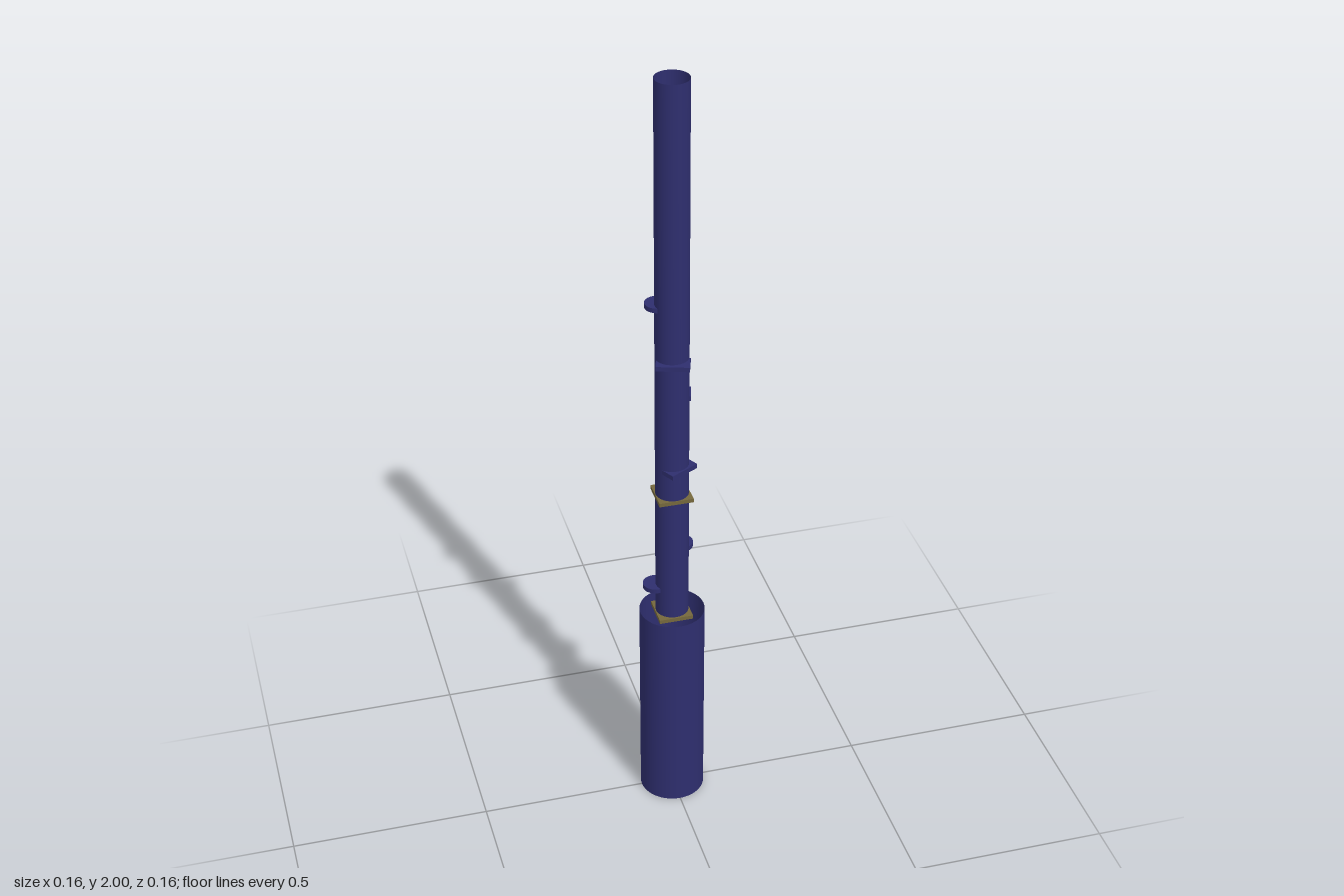
import * as THREE from 'three';

export function createModel() {
  const model = new THREE.Group();
  const navy = new THREE.MeshStandardMaterial({ color: 0x2e2e6e, side: THREE.DoubleSide });
  navy.name = 'navy';
  const olive = new THREE.MeshStandardMaterial({ color: 0x75683c });
  olive.name = 'olive';

  function add(name, geometry, material, x, y, z, turn = 0) {
    const mesh = new THREE.Mesh(geometry, material);
    mesh.name = name;
    mesh.position.set(x, y, z);
    mesh.rotation.y = turn;
    model.add(mesh);
  }

  // Open-ended shafts: wide base and slim upper tube
  const shaft = (r, h) => new THREE.CylinderGeometry(r, r, h, 48, 1, true);
  add('baseShaft', shaft(0.082, 0.56), navy, 0, 0.28, 0);
  add('upperShaft', shaft(0.0415, 1.44), navy, 0, 1.28, 0);

  // Square floor plates
  for (const y of [0.553, 0.905]) {
    add('floorPlate', new THREE.BoxGeometry(0.086, 0.01, 0.086), olive, 0, y, 0);
  }

  // Round ledges poking through the tube: x, y, z
  const disc = new THREE.CylinderGeometry(0.031, 0.031, 0.012, 24);
  for (const [x, y, z] of [[-0.031, 1.428, -0.016], [0.028, 0.738, -0.022], [-0.041, 0.634, -0.009]]) {
    add('roundLedge', disc, navy, x, y, z);
  }

  // Rectangular ledges, each turned about the shaft: x, y, z, turn
  const slab = new THREE.BoxGeometry(0.081, 0.012, 0.046);
  for (const [x, y, z, turn] of [
    [-0.005, 1.287, 0.028, -0.31],
    [0.011, 1.176, -0.021, -0.27],
    [0.0105, 0.989, 0.02, 0.49],
  ]) {
    add('slabLedge', slab, navy, x, y, z, turn);
  }
  return model;
}
